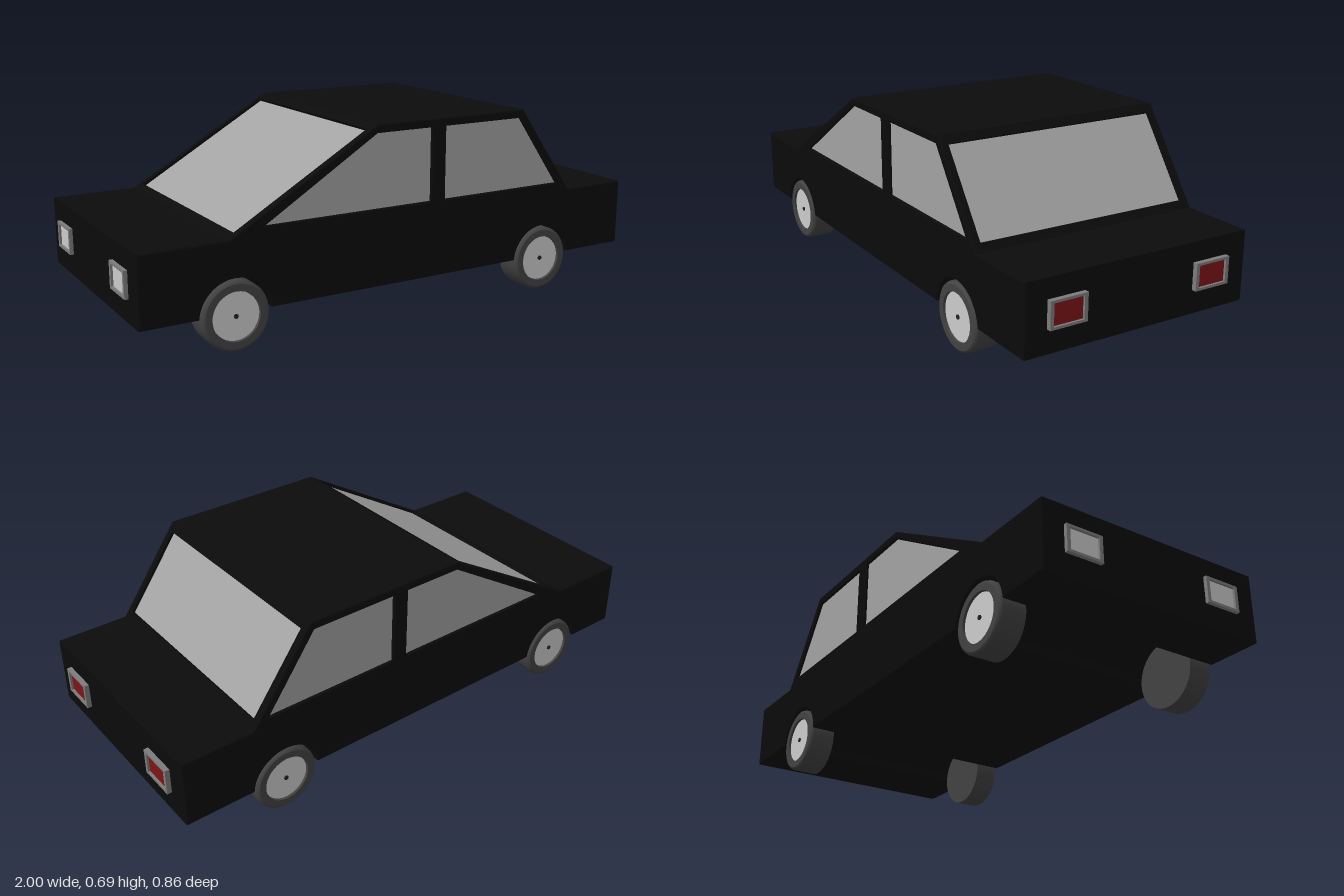
import * as THREE from 'three';

const paint = new THREE.MeshStandardMaterial({ color: 0x0b0b0b });
const glass = new THREE.MeshStandardMaterial({ color: 0xa2a2a2, side: THREE.DoubleSide });
const rubber = new THREE.MeshStandardMaterial({ color: 0x424242 });
const chrome = new THREE.MeshStandardMaterial({ color: 0xcccccc });
const trim = new THREE.MeshStandardMaterial({ color: 0x7c7c7c });
const red = new THREE.MeshStandardMaterial({ color: 0x7d1418 });
const dark = new THREE.MeshStandardMaterial({ color: 0x222222 });

const HALF = 0.43, BOTTOM = 0.13, RECESS = 0.013;
const AXLE_Y = 0.12, ARCH_R = 0.128, AXLES = [-0.66, 0.6];
// Ends of the two sloping screens, in the side plane
const FRONT = [[-0.68, 0.375], [-0.13, 0.695]];
const REAR = [[0.49, 0.695], [0.72, 0.375]];

function add(parent, name, geometry, material) {
  const mesh = new THREE.Mesh(geometry, material);
  mesh.name = name;
  parent.add(mesh);
  return mesh;
}

const polygon = (points) => new THREE.Shape(points.map(([x, y]) => new THREE.Vector2(x, y)));

// Side outline with wheel arches; "cabin" is the run of points from bonnet to boot
function outline(cabin) {
  const shape = new THREE.Shape();
  shape.moveTo(-0.987, BOTTOM);
  const a = Math.asin((BOTTOM - AXLE_Y) / ARCH_R);
  for (const x of AXLES) {
    shape.lineTo(x - ARCH_R * Math.cos(a), BOTTOM);
    shape.absarc(x, AXLE_Y, ARCH_R, Math.PI - a, a, true);
  }
  for (const [x, y] of [[0.983, BOTTOM], [0.983, 0.375], ...[...cabin].reverse(), [-0.987, 0.375]]) shape.lineTo(x, y);
  shape.closePath();
  return shape;
}

// Local frame of a screen: u up/down the slope, n pointing outward
function slope([[ax, ay], [bx, by]]) {
  const u = new THREE.Vector3(bx - ax, by - ay, 0);
  const length = u.length();
  u.normalize();
  const n = new THREE.Vector3(-u.y, u.x, 0);
  const matrix = new THREE.Matrix4().makeBasis(u, new THREE.Vector3(0, 0, -1), n);
  matrix.setPosition(ax - n.x * RECESS, ay - n.y * RECESS, 0);
  return { n, length, matrix };
}

// Screen surround with an opening, and the pane sunk behind it
function addScreen(parent, name, ends) {
  const { length, matrix } = slope(ends);
  const rect = (u0, u1, w) => [[u0, -w], [u1, -w], [u1, w], [u0, w]];
  const frame = polygon(rect(0, length, 0.42));
  frame.holes.push(polygon(rect(0.032, length - 0.032, 0.402)));
  add(parent, name + 'Frame', new THREE.ExtrudeGeometry(frame, { depth: RECESS, bevelEnabled: false }).applyMatrix4(matrix), paint);
  const pane = new THREE.ShapeGeometry(polygon(rect(0.03, length - 0.03, 0.404)));
  add(parent, name, pane.translate(0, 0, 0.002).applyMatrix4(matrix), glass);
}

function makeWheel() {
  const wheel = new THREE.Group();
  // Lathe axis is turned to z, with the outer face toward +z
  const tyre = [[0, 0], [0.119, 0], [0.119, 0], [0.119, 0.083], [0.116, 0.091], [0.109, 0.095], [0.109, 0.095],
    [0.085, 0.095], [0.085, 0.095], [0.083, 0.08]].map(([r, y]) => new THREE.Vector2(r, y));
  add(wheel, 'tyre', new THREE.LatheGeometry(tyre, 40).rotateX(Math.PI / 2), rubber);
  add(wheel, 'hubcap', new THREE.CylinderGeometry(0.083, 0.083, 0.01, 40).rotateX(Math.PI / 2).translate(0, 0, 0.082), chrome);
  add(wheel, 'hubBolt', new THREE.CylinderGeometry(0.008, 0.008, 0.006, 16).rotateX(Math.PI / 2).translate(0, 0, 0.088), dark);
  return wheel;
}

// Rectangular lamp facing +x: surround with a sunken lens
function makeLamp(lens) {
  const lamp = new THREE.Group();
  const rect = (w, h) => [[-w, -h], [w, -h], [w, h], [-w, h]];
  const rim = polygon(rect(0.068, 0.047));
  rim.holes.push(polygon(rect(0.055, 0.038)));
  add(lamp, 'lampRim', new THREE.ExtrudeGeometry(rim, { depth: 0.03, bevelEnabled: false }).rotateY(Math.PI / 2), trim);
  add(lamp, 'lampLens', new THREE.BoxGeometry(0.022, 0.078, 0.112).translate(0.011, 0, 0), lens);
  return lamp;
}

export function createModel() {
  const car = new THREE.Group();
  car.name = 'car';

  // Core of the body, sunk behind the two screens
  const sunk = ([x, y], { n }) => [x - n.x * RECESS, y - n.y * RECESS];
  const f = slope(FRONT), r = slope(REAR);
  const core = outline([
    [FRONT[0][0] + RECESS / -f.n.x, FRONT[0][1]], sunk(FRONT[1], f), FRONT[1],
    REAR[0], sunk(REAR[0], r), [REAR[1][0] - RECESS / r.n.x, REAR[1][1]],
  ]);
  const coreHalf = 0.418;
  add(car, 'bodyCore', new THREE.ExtrudeGeometry(core, { depth: coreHalf * 2, bevelEnabled: false, curveSegments: 20 })
    .translate(0, 0, -coreHalf), paint);

  // Side panels with window openings and softened edges
  const windows = {
    frontSideWindow: [[-0.555, 0.405], [0.09, 0.405], [0.09, 0.665], [-0.13, 0.665]],
    rearSideWindow: [[0.15, 0.405], [0.66, 0.405], [0.475, 0.665], [0.15, 0.665]],
  };
  const panel = outline([...FRONT, ...REAR]);
  for (const points of Object.values(windows)) panel.holes.push(polygon(points));
  const bevel = 0.005;
  const panelGeometry = new THREE.ExtrudeGeometry(panel, {
    depth: 0.01, bevelThickness: bevel, bevelSize: bevel, bevelOffset: -bevel, bevelSegments: 2, curveSegments: 20,
  }).translate(0, 0, -0.005);
  for (const side of [1, -1]) {
    const end = side > 0 ? 'Left' : 'Right';
    add(car, 'sidePanel' + end, panelGeometry, paint).position.z = side * (HALF - 0.01);
    for (const [name, points] of Object.entries(windows)) {
      add(car, name + end, new THREE.ShapeGeometry(polygon(points)), glass).position.z = side * (coreHalf + 0.002);
    }
  }

  // Windscreen and rear window
  addScreen(car, 'windscreen', FRONT);
  addScreen(car, 'rearWindow', REAR);

  // Wheels and lamps, mirrored
  for (const side of [1, -1]) {
    AXLES.forEach((x, i) => {
      const wheel = makeWheel();
      wheel.name = i ? 'rearWheel' : 'frontWheel';
      wheel.position.set(x, AXLE_Y, side * 0.335);
      if (side < 0) wheel.rotation.y = Math.PI;
      car.add(wheel);
    });
    for (const end of [1, -1]) {
      const lamp = makeLamp(end > 0 ? red : chrome);
      lamp.name = end > 0 ? 'tailLamp' : 'headLamp';
      lamp.position.set(end * 0.97, 0.259, side * 0.28);
      if (end < 0) lamp.rotation.y = Math.PI;
      car.add(lamp);
    }
  }
  return car;
}
